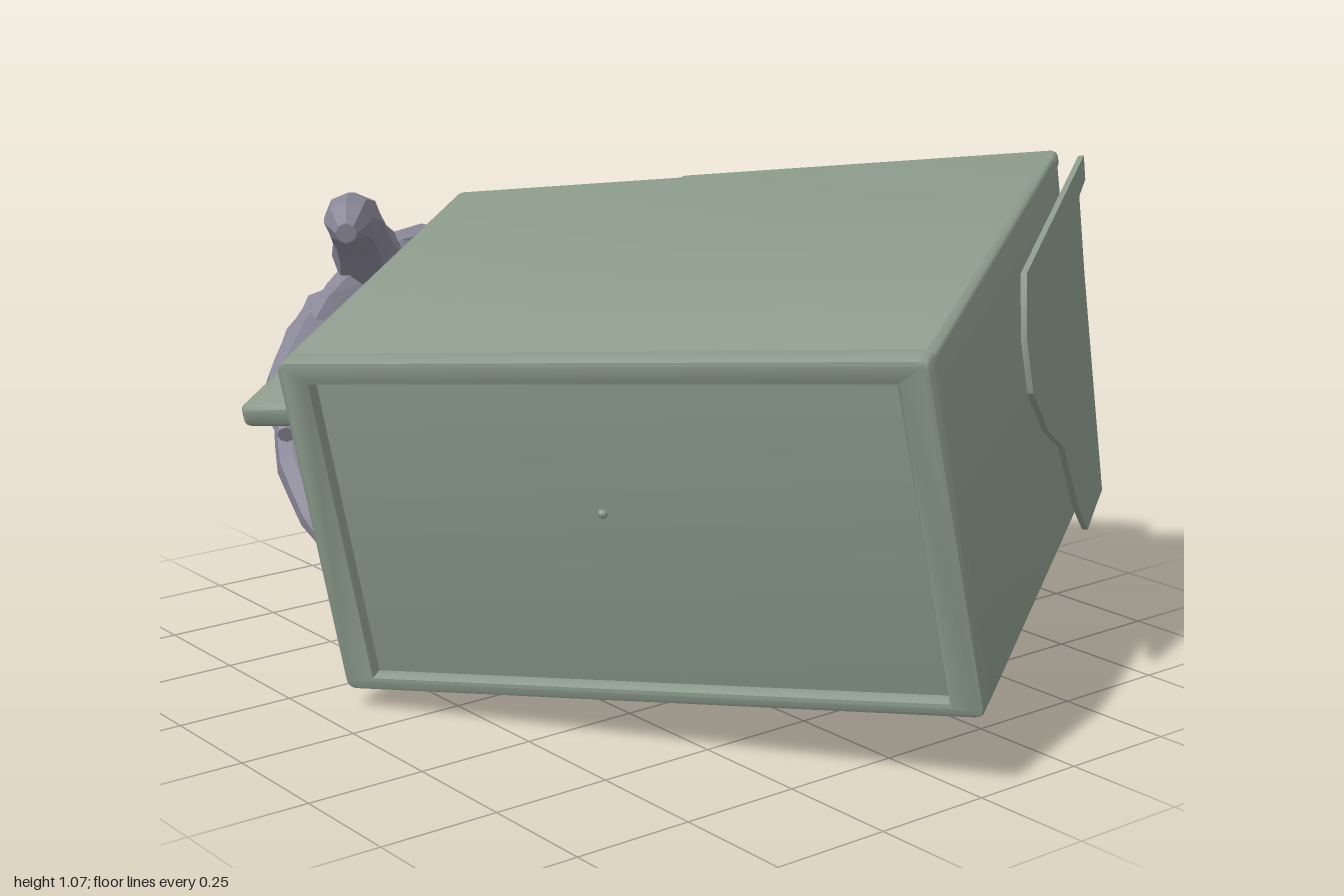
import * as THREE from 'three';
import { toCreasedNormals } from 'three/addons/utils/BufferGeometryUtils.js';
import { RoundedBoxGeometry } from 'three/addons/geometries/RoundedBoxGeometry.js';

const W = 1.295, H = 0.73, D = 1.1;
const V = (x, y, z) => new THREE.Vector3(x, y, z);
const lerp = THREE.MathUtils.lerp;

// Cabinet space: x across the front, y up the cabinet, -z towards its back
const tilt = new THREE.Matrix4()
  .makeBasis(V(0.85, 0.086, -0.516), V(0.01, 0.97, 0.246), V(0.47, -0.183, 0.861))
  .setPosition(-0.11, 0.035, 0.65);

// Move every vertex by a rule
function warp(geo, rule) {
  const p = geo.attributes.position, v = V(0, 0, 0);
  for (let i = 0; i < p.count; i++) {
    rule(v.fromBufferAttribute(p, i));
    p.setXYZ(i, v.x, v.y, v.z);
  }
  return geo;
}

// The cabinet skews towards the back, and its back leans in towards the bottom
function taper(v) {
  const s = v.x / W, t = v.y / H, f = -v.z / D;
  v.x += f * lerp(-0.135, -0.065, s) - 0.035 * (1 - s) * (1 - t) * (1 - f);
  v.y -= f * lerp(0.015, lerp(0.008, -0.012, s), t);
  v.z = -f * lerp(lerp(1.02, 1.0, s), lerp(1.03, 1.12, s), t);
}

// The plinth follows that skew and sinks a little towards the back
function sink(v) {
  const s = v.x / W, f = -v.z;
  v.x += f * lerp(-0.17, -0.05, s);
  v.y -= f * 0.04;
  v.z *= lerp(0.95, 0.94, s);
}

// Rounded block between two corners in cabinet space
function block(x0, x1, y0, y1, d0, d1, r = 0.02) {
  return new RoundedBoxGeometry(x1 - x0, y1 - y0, d1 - d0, 3, r)
    .translate((x0 + x1) / 2, (y0 + y1) / 2, -(d0 + d1) / 2);
}

function roundedRect(path, x0, y0, x1, y1, r) {
  path.moveTo(x0 + r, y0).lineTo(x1 - r, y0).quadraticCurveTo(x1, y0, x1, y0 + r)
    .lineTo(x1, y1 - r).quadraticCurveTo(x1, y1, x1 - r, y1)
    .lineTo(x0 + r, y1).quadraticCurveTo(x0, y1, x0, y1 - r)
    .lineTo(x0, y0 + r).quadraticCurveTo(x0, y0, x0 + r, y0);
  return path;
}

// Skin over elliptical sections { c, a, b }, closed at both ends
function loft(sections, n = 8) {
  const pos = [], idx = [];
  for (const { c, a, b } of sections)
    for (let i = 0; i < n; i++) {
      const q = (i / n) * Math.PI * 2;
      pos.push(...c.clone().addScaledVector(a, Math.cos(q)).addScaledVector(b, Math.sin(q)).toArray());
    }
  const last = sections.length - 1, tail = sections.length * n;
  pos.push(...sections[0].c.toArray(), ...sections[last].c.toArray());
  for (let i = 0; i < n; i++) {
    const j = (i + 1) % n;
    for (let r = 0; r < last; r++) {
      const o = r * n, p = o + n;
      idx.push(o + i, o + j, p + j, o + i, p + j, p + i);
    }
    idx.push(tail, j, i, tail + 1, last * n + i, last * n + j);
  }
  const geo = new THREE.BufferGeometry();
  geo.setAttribute('position', new THREE.Float32BufferAttribute(pos, 3));
  geo.setIndex(idx);
  geo.computeVertexNormals();
  return geo;
}

// Tapered finger along a curve
function finger(points, r0, r1) {
  const curve = new THREE.CatmullRomCurve3(points.map(p => V(...p)));
  const n = 9, fr = curve.computeFrenetFrames(n);
  return loft(Array.from({ length: n + 1 }, (_, i) => {
    const t = i / n;
    const knuckle = 1 + 0.07 * Math.cos(t * Math.PI * 6);
    const r = lerp(r0, r1, t) * (i === n ? 0.5 : knuckle);
    return {
      c: curve.getPointAt(t),
      a: fr.normals[i].clone().multiplyScalar(r),
      b: fr.binormals[i].clone().multiplyScalar(r),
    };
  }));
}

export function createModel() {
  const model = new THREE.Group();
  const cabinet = new THREE.Group(), hand = new THREE.Group();
  cabinet.name = 'cabinet';
  hand.name = 'hand';
  model.add(cabinet, hand);

  const green = new THREE.MeshStandardMaterial({ color: 0x8b9a8b });
  const skin = new THREE.MeshStandardMaterial({ color: 0x8a8798, flatShading: true });

  const add = (name, geo, rule = taper) => {
    warp(geo, rule).applyMatrix4(tilt);
    const mesh = new THREE.Mesh(toCreasedNormals(geo, 0.6), green);
    mesh.name = name;
    cabinet.add(mesh);
  };

  // Shell; its front face is the screen inside the frame
  add('shell', block(0, W, 0, H, 0.015, D, 0.018));

  // Screen frame
  const rim = roundedRect(new THREE.Shape(), 0.008, 0.008, W - 0.008, H - 0.008, 0.014);
  rim.holes.push(roundedRect(new THREE.Path(), 0.056, 0.022, W - 0.056, H - 0.04, 0.006));
  add('screenFrame', new THREE.ExtrudeGeometry(rim, {
    depth: 0.046, bevelEnabled: true, bevelSize: 0.008, bevelThickness: 0.008, bevelSegments: 2, curveSegments: 4,
  }).translate(0, 0, -0.034));
  add('screenDot', new THREE.SphereGeometry(0.01, 8, 6).translate(0.61, 0.4, -0.015));

  // Plinth with a neck above it
  add('plinth', block(0.07, 0.96, -0.075, -0.01, 0.14, 0.95, 0.018), sink);
  add('plinthNeck', block(0.12, 1.04, -0.03, 0.06, 0.22, 0.92, 0.015), sink);

  // Ledges across the top of the back
  add('backLedgeRight', block(0.04, 0.5, 0.62, 0.69, 1.05, 1.125));
  add('backLedgeLeft', block(0.63, 1.14, 0.63, 0.7, 1.05, 1.2));
  add('backLatch', block(0.53, 0.62, 0.62, 0.71, 1.05, 1.15));
  add('backLip', block(0.5, W, 0.69, H, 1.05, 1.11, 0.015));

  // Worn fittings on the back: [x, y, half width, half height, depth]
  const lumps = [
    [0.6, 0.55, 0.11, 0.09, 0.035], [0.6, 0.56, 0.075, 0.055, 0.05], [0.66, 0.32, 0.1, 0.06, 0.035],
    [1.03, 0.37, 0.05, 0.07, 0.03], [1.03, 0.2, 0.06, 0.06, 0.03], [0.9, 0.42, 0.09, 0.03, 0.03],
    [0.35, 0.24, 0.06, 0.02, 0.02], [1.24, 0.54, 0.03, 0.035, 0.03], [1.12, 0.28, 0.03, 0.08, 0.025],
  ];
  for (const [x, y, a, b, c] of lumps)
    add('backLump', new THREE.SphereGeometry(1, 16, 10).scale(a, b, c).translate(x, y, -D));
  const rails = [
    [0.5, 0.88, 0.38, 0.405], [0.5, 0.88, 0.08, 0.1], [0.5, 0.52, 0.08, 0.4],
    [0.86, 0.88, 0.08, 0.4], [0.92, 1.08, 0.11, 0.14], [0.92, 1.08, 0.27, 0.3],
  ];
  for (const [x0, x1, y0, y1] of rails)
    add('backRail', block(x0, x1, y0, y1, 1.08, 1.118, 0.008));

  // Small shelf sticking out beside the fingers
  add('sideShelf', block(-0.18, 0.03, 0.53, 0.58, 0.13, 0.6, 0.015));

  // Loose flake of side panel, standing off the cabinet
  const edge = [[0.46, 0.71], [0.4, 0.6], [0.4, 0.485], [0.49, 0.365], [0.616, 0.27], [0.685, 0.1],
    [0.753, 0.016], [0.85, 0.02], [0.94, 0.02], [0.966, 0.275], [0.99, 0.5], [1.02, 0.67], [1.1, 0.68], [1.11, 0.73]];
  const flake = new THREE.ExtrudeGeometry(new THREE.Shape(edge.map(p => new THREE.Vector2(...p))),
    { depth: 0.012, bevelEnabled: false });
  flake.rotateY(Math.PI / 2);
  add('sideFlake', flake, v => { v.x += 1.345 + 0.08 * v.z + 0.025 * v.y; });

  const addHand = (name, geo) => {
    const mesh = new THREE.Mesh(geo, skin);
    mesh.name = name;
    hand.add(mesh);
  };

  // Wrist and palm
  addHand('palm', loft([
    { c: V(-0.885, 0.7, 0.03), a: V(0.115, 0.115, -0.03), b: V(-0.03, 0.055, 0.085) },
    { c: V(-0.81, 0.67, 0.16), a: V(0.1, 0.145, 0), b: V(-0.075, 0.035, 0.06) },
    { c: V(-0.745, 0.62, 0.28), a: V(0.085, 0.17, 0.01), b: V(-0.068, 0.024, 0.048) },
    { c: V(-0.68, 0.565, 0.4), a: V(0.075, 0.17, 0.015), b: V(-0.052, 0.018, 0.036) },
    { c: V(-0.63, 0.53, 0.48), a: V(0.055, 0.13, 0.015), b: V(-0.034, 0.012, 0.026) },
  ], 12));

  // Digits
  addHand('thumb', finger([[-0.79, 0.72, 0.17], [-0.66, 0.8, 0.28], [-0.56, 0.895, 0.37], [-0.49, 0.925, 0.43], [-0.4, 0.91, 0.49]], 0.09, 0.044));
  addHand('indexFinger', finger([[-0.7, 0.67, 0.36], [-0.6, 0.645, 0.47], [-0.47, 0.6, 0.6], [-0.31, 0.53, 0.7]], 0.058, 0.036));
  addHand('middleFinger', finger([[-0.72, 0.62, 0.36], [-0.63, 0.55, 0.48], [-0.48, 0.42, 0.58], [-0.31, 0.28, 0.61]], 0.056, 0.036));
  addHand('ringFinger', finger([[-0.74, 0.55, 0.34], [-0.66, 0.46, 0.45], [-0.53, 0.31, 0.52], [-0.36, 0.17, 0.5]], 0.054, 0.034));
  addHand('littleFinger', finger([[-0.76, 0.5, 0.31], [-0.7, 0.39, 0.4], [-0.61, 0.23, 0.42], [-0.47, 0.12, 0.38]], 0.05, 0.031));

  return model;
}
